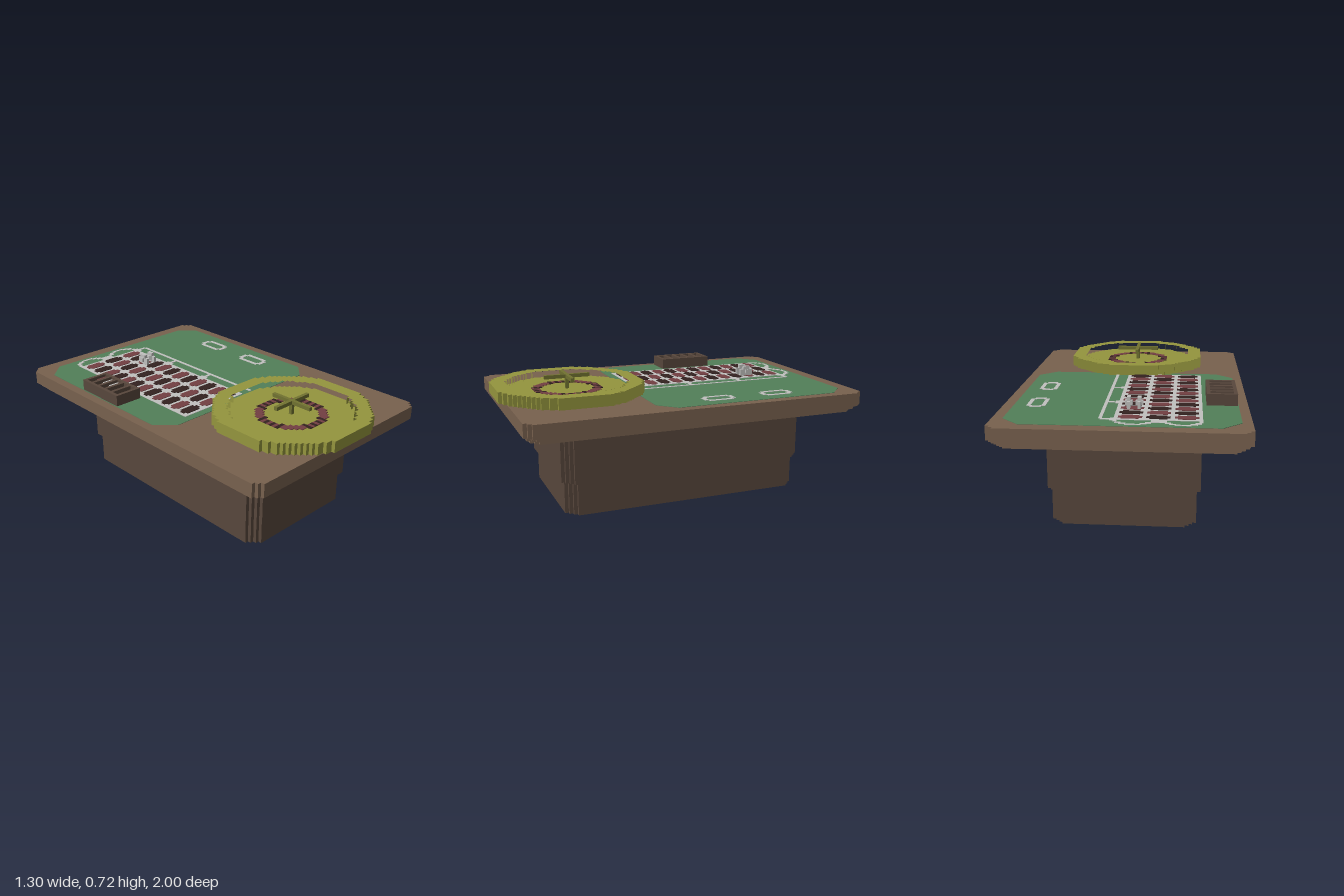
import * as THREE from 'three';
import { mergeGeometries } from 'three/addons/utils/BufferGeometryUtils.js';

const V = 0.0204; // one block of the stepped style

function material(name, color) {
  const m = new THREE.MeshStandardMaterial({ color });
  m.name = name;
  return m;
}

// Closed outline given as [x, z] points
const outline = (pts, Type = THREE.Shape) => new Type(pts.map(([x, z]) => new THREE.Vector2(x, -z)));

// Rectangle whose corners are cut into n stair steps
function steppedRect(x0, x1, z0, z1, n, s = V) {
  const pts = [];
  const corner = (cx, cz, sx, sz, flip) => {
    const c = [];
    for (let i = 0; i <= n; i++) {
      c.push([cx - sx * (n - i) * s, cz - sz * i * s]);
      if (i < n) c.push([cx - sx * (n - i) * s, cz - sz * (i + 1) * s]);
    }
    pts.push(...(flip ? c.reverse() : c));
  };
  corner(x1, z1, 1, 1, false);
  corner(x1, z0, 1, -1, true);
  corner(x0, z0, -1, -1, false);
  corner(x0, z1, -1, 1, true);
  return pts;
}

// Circle of blocks, n blocks out from the centre block
function steppedCircle(cx, cz, n) {
  const side = [];
  for (let k = -n; k <= n; k++) {
    const w = (Math.min(n, Math.floor(Math.sqrt((n + 1.2) ** 2 - k * k))) + 0.5) * V;
    side.push([w, (k - 0.5) * V], [w, (k + 0.5) * V]);
  }
  const other = side.map(([x, z]) => [-x, z]).reverse();
  return [...side, ...other].map(([x, z]) => [cx + x, cz + z]);
}

// Upright slab from y0 to y1 with optional holes
function slab(pts, y0, y1, holes = []) {
  const shape = outline(pts);
  shape.holes = holes.map((h) => outline(h, THREE.Path));
  const g = new THREE.ExtrudeGeometry(shape, { depth: y1 - y0, bevelEnabled: false });
  return g.rotateX(-Math.PI / 2).translate(0, y0, 0);
}

function box(x0, x1, y0, y1, z0, z1) {
  return new THREE.BoxGeometry(x1 - x0, y1 - y0, z1 - z0)
    .translate((x0 + x1) / 2, (y0 + y1) / 2, (z0 + z1) / 2);
}

export function createModel() {
  const model = new THREE.Group();
  model.name = 'rouletteTable';
  const wood = material('wood', 0x78614e);
  const darkWood = material('darkWood', 0x58473c);
  const felt = material('greenFelt', 0x527f59);
  const white = material('whiteMarking', 0xc0c0be);
  const red = material('red', 0x733f42);
  const black = material('black', 0x33211f);
  const olive = material('olive', 0x94953d);
  const darkOlive = material('darkOlive', 0x717230);

  const add = (name, mat, ...geos) => {
    const mesh = new THREE.Mesh(geos.length > 1 ? mergeGeometries(geos) : geos[0], mat);
    mesh.name = name;
    model.add(mesh);
  };

  // Pedestal and stepped table top
  add('lowerBase', darkWood, slab(steppedRect(-0.388, 0.386, -0.73, 0.695, 3), 0, 0.186));
  add('upperBase', darkWood, slab(steppedRect(-0.408, 0.406, -0.75, 0.715, 3), 0.186, 0.495));
  [[0.495, 0.514, 2], [0.514, 0.534, 1], [0.534, 0.61, 0]].forEach(([y0, y1, k]) =>
    add('tableTop', wood, slab(
      steppedRect(-0.652 + k * V, 0.652 - k * V, -1 + k * V, 0.96 - k * V, 2), y0, y1)));

  // Felt with cut corners
  add('feltSurface', felt, slab([[-0.5, -0.925], [0.5, -0.925], [0.595, -0.83], [0.595, 0.13],
    [0.5, 0.225], [-0.5, 0.225], [-0.6, 0.13], [-0.6, -0.83]], 0.607, 0.612));

  // Painted betting grid with numbered cells in alternating colours
  const Y0 = 0.61, Y1 = 0.614;
  const bar = (x0, x1, z0, z1) => box(x0, x1, Y0, Y1, z0, z1);
  add('bettingGrid', white, bar(-0.408, 0.04, -0.82, 0.18));
  const cells = [[], []];
  for (let r = 0; r < 12; r++) {
    for (let c = 0; c < 3; c++) {
      const x = -0.328 + c * 0.143, z = -0.77 + r * 0.0818;
      cells[(r + c) % 2].push(
        slab(steppedRect(x - 0.061, x + 0.061, z - 0.03, z + 0.03, 1, 0.016), Y1 - 0.002, 0.617));
    }
  }
  add('redCells', red, ...cells[0]);
  add('blackCells', black, ...cells[1]);

  // Side boxes, end arches and small frames
  add('sideBoxes', white,
    bar(0.098, 0.116, -0.805, 0.18),
    ...[-0.81, -0.485, -0.162].map((z) => bar(0.04, 0.106, z - 0.01, z + 0.01)),
    ...[-0.81, -0.485, -0.162].map((z) => bar(0.04, 0.058, z - 0.025, z + 0.025)));
  const arches = [bar(-0.23, -0.15, -0.86, -0.82), bar(-0.408, -0.388, -0.85, -0.82), bar(0.02, 0.04, -0.85, -0.82)];
  for (const x of [-0.31, -0.062]) {
    arches.push(bar(x - 0.04, x + 0.04, -0.902, -0.886));
    for (const s of [-1, 1]) {
      const span = (a, b, z0, z1) => bar(x + Math.min(s * a, s * b), x + Math.max(s * a, s * b), z0, z1);
      arches.push(span(0.035, 0.07, -0.89, -0.872), span(0.06, 0.09, -0.875, -0.852));
    }
  }
  add('endArches', white, ...arches);
  for (const z of [-0.52, -0.157]) {
    add('sideFrame', white, slab(steppedRect(0.424, 0.526, z - 0.094, z + 0.094, 1), Y0, Y1,
      [steppedRect(0.446, 0.504, z - 0.07, z + 0.07, 1, 0.01)]));
  }

  // Chip tray with five slots
  const slots = [0, 1, 2, 3, 4].map((i) => -0.495 + i * 0.0613);
  add('chipTray', darkWood,
    slab(steppedRect(-0.595, -0.43, -0.515, -0.188, 0), 0.61, 0.675,
      slots.map((z) => steppedRect(-0.575, -0.45, z, z + 0.041, 0))));
  add('chipTrayFloor', darkWood, box(-0.585, -0.44, 0.612, 0.634, -0.505, -0.198));
  add('redChips', red, box(-0.513, -0.451, 0.633, 0.66, slots[0] + 0.001, slots[0] + 0.04));
  add('whiteChips', white, ...[1, 2].flatMap((i) => [
    box(-0.513, -0.451, 0.633, 0.66, slots[i] + 0.001, slots[i] + 0.04),
    box(-0.533, -0.513, 0.633, 0.66, slots[i] + 0.01, slots[i] + 0.031)]));

  // Pair of small betting markers
  for (const x of [-0.078, -0.022]) {
    add('bettingMarker', white,
      box(x - 0.01, x + 0.01, 0.612, 0.675, -0.612, -0.571),
      box(x - 0.02, x + 0.02, 0.63, 0.655, -0.602, -0.581),
      box(x - 0.008, x + 0.008, 0.617, 0.655, -0.632, -0.551));
  }

  // Wheel: raised rim, sunken floor
  const cx = 0.01, cz = 0.581;
  add('wheelRim', olive, slab(steppedCircle(cx, cz, 20), 0.611, 0.675, [steppedCircle(cx, cz, 16)]));
  add('wheelFloor', olive, slab(steppedCircle(cx, cz, 17), 0.612, 0.634));

  // Painted ring of red and black pockets
  const pockets = [[], []];
  for (let i = -9; i <= 9; i++) {
    for (let j = -9; j <= 9; j++) {
      const r = Math.hypot(i, j);
      if (r < 7.4 || r > 9.6) continue;
      const near = Math.min(Math.abs(i), Math.abs(j));
      const dark = near < 5 && near % 2 === 1;
      const x = cx + i * V, z = cz + j * V;
      pockets[dark ? 1 : 0].push(box(x - V / 2, x + V / 2, 0.632, 0.638, z - V / 2, z + V / 2));
    }
  }
  add('redPockets', red, ...pockets[0]);
  add('blackPockets', black, ...pockets[1]);

  // Turning handle
  add('wheelSpindle', darkOlive, box(cx - 0.01, cx + 0.01, 0.633, 0.7, cz - 0.01, cz + 0.01));
  add('wheelHandle', darkOlive, slab([[-1, -1], [-1, -13], [1, -13], [1, -1], [13, -1], [13, 1],
    [1, 1], [1, 13], [-1, 13], [-1, 1], [-13, 1], [-13, -1]]
    .map(([x, z]) => [cx + x * 0.0102, cz + z * 0.0102]), 0.695, 0.716));

  return model;
}
